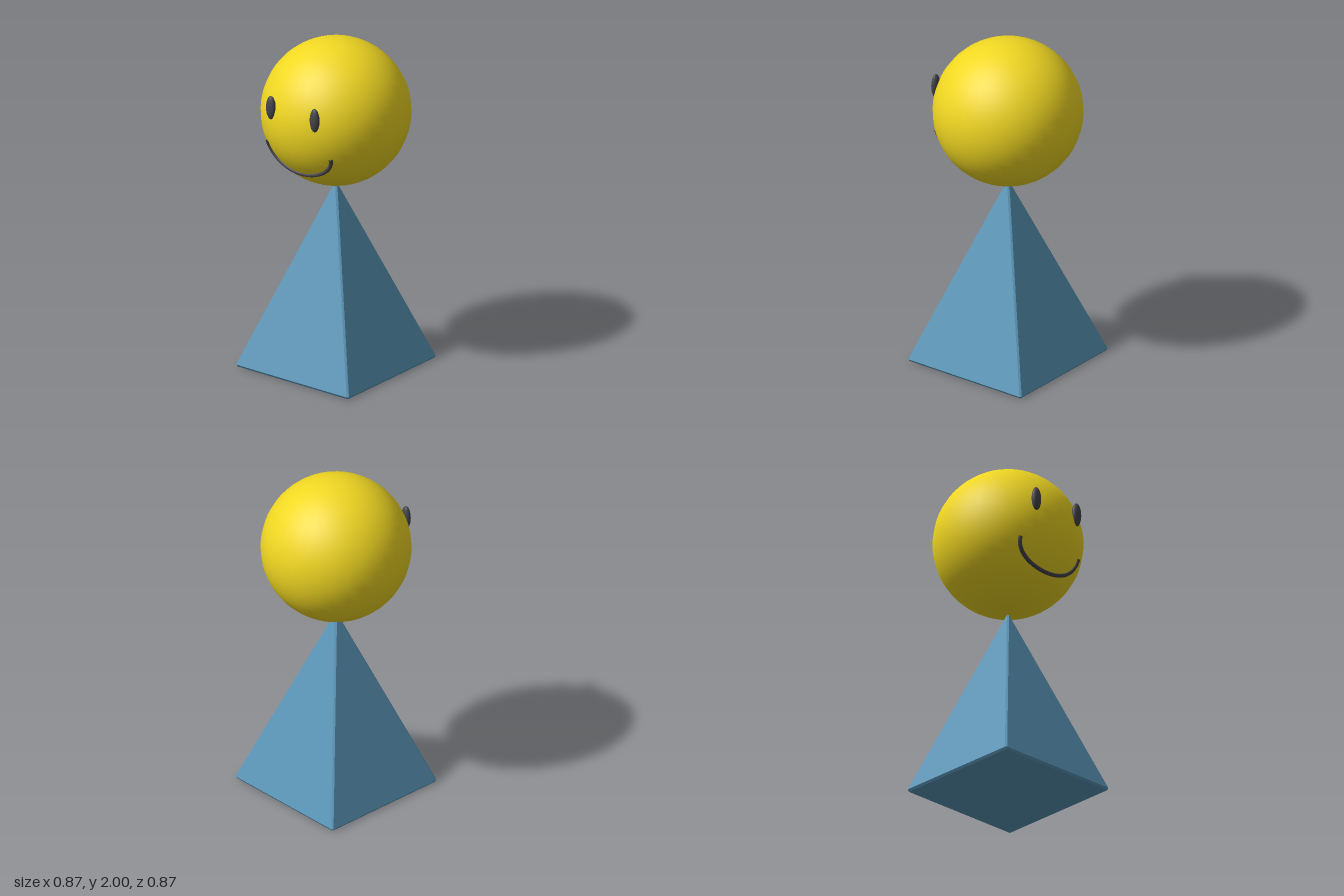
import * as THREE from 'three';
import { ConvexGeometry } from 'three/addons/geometries/ConvexGeometry.js';

const HEAD_R = 0.435;
const HEAD_Y = 1.565;

const yellow = new THREE.MeshStandardMaterial({ color: 0xf0d722 });
const blue = new THREE.MeshStandardMaterial({ color: 0x5b97b9, flatShading: true });
const dark = new THREE.MeshStandardMaterial({ color: 0x45454b });
const darkOpen = new THREE.MeshStandardMaterial({ color: 0x45454b, side: THREE.DoubleSide });

function addMesh(parent, name, geometry, material) {
  const mesh = new THREE.Mesh(geometry, material);
  mesh.name = name;
  parent.add(mesh);
  return mesh;
}

// Square pyramid with a narrow bevel: each corner is pushed out along its faces' normals
function beveledPyramid(half, bottom, top, bevel) {
  const up = half / Math.hypot(half, top - bottom);
  const out = (top - bottom) / Math.hypot(half, top - bottom);
  const points = [];
  const push = (x, y, z, nx, ny, nz) =>
    points.push(new THREE.Vector3(x + nx * bevel, y + ny * bevel, z + nz * bevel));
  for (const sx of [-1, 1]) {
    for (const sz of [-1, 1]) {
      const x = sx * half, z = sz * half;
      push(x, bottom, z, 0, -1, 0);
      push(x, bottom, z, sx * out, up, 0);
      push(x, bottom, z, 0, up, sz * out);
    }
    push(0, top, 0, sx * out, up, 0);
    push(0, top, 0, 0, up, sx * out);
  }
  push(0, top, 0, 0, 1, 0);
  return new ConvexGeometry(points);
}

// Half-ellipse smile laid onto the surface of the head
function smileCurve() {
  const points = [];
  for (let i = 0; i <= 24; i++) {
    const a = Math.PI * (1 + i / 24);
    const x = 0.23 * Math.cos(a);
    const y = 1.43 + 0.154 * Math.sin(a) - HEAD_Y;
    points.push(new THREE.Vector3(x, y, Math.sqrt(HEAD_R ** 2 - x * x - y * y)));
  }
  return new THREE.CatmullRomCurve3(points);
}

export function createModel() {
  const model = new THREE.Group();
  model.name = 'smilingFigure';

  // Body
  addMesh(model, 'body', beveledPyramid(0.403, 0.01, 1.11, 0.01), blue);

  // Head with its face
  const head = new THREE.Group();
  head.name = 'head';
  head.position.y = HEAD_Y;
  model.add(head);
  addMesh(head, 'headBall', new THREE.SphereGeometry(HEAD_R, 32, 32), yellow);

  for (const [name, side] of [['leftEye', 1], ['rightEye', -1]]) {
    const eye = addMesh(head, name, new THREE.SphereGeometry(1, 24, 16), dark);
    eye.scale.set(0.032, 0.072, 0.022);
    eye.position.set(side * 0.16, 1.67 - HEAD_Y, 0.402);
  }

  addMesh(head, 'mouth', new THREE.TubeGeometry(smileCurve(), 48, 0.012, 10), darkOpen);

  return model;
}
